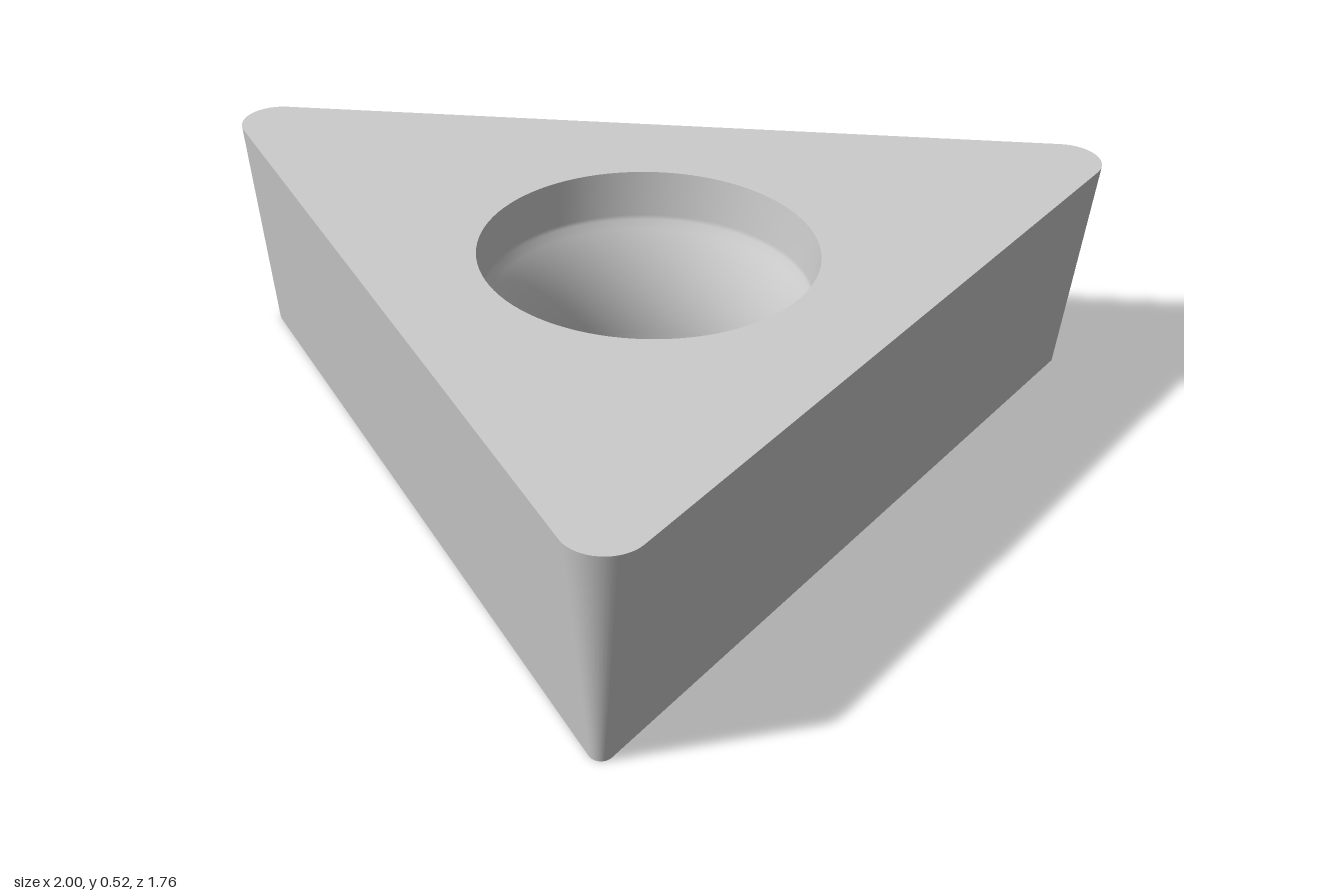
import * as THREE from 'three';

const HEIGHT = 0.525, TOP_R = 0.09, BOTTOM_R = 0.025; // corner radii of the tapered body
const CORNER = (1 - TOP_R) * 2 / Math.sqrt(3);        // distance from hole axis to corner axes
const STEPS = 16, HOLE_SEGS = 96;

// Angles and points around the rounded triangle, counter-clockwise, apex first
function outline(radius) {
  const pts = [];
  for (let c = 0; c < 3; c++) {
    const mid = Math.PI / 2 + c * Math.PI * 2 / 3;
    for (let i = 0; i <= STEPS; i++) {
      const a = mid + (i / STEPS - 0.5) * Math.PI * 2 / 3;
      pts.push({
        a,
        x: CORNER * Math.cos(mid) + radius * Math.cos(a),
        y: CORNER * Math.sin(mid) + radius * Math.sin(a),
      });
    }
  }
  return pts;
}

// Flat triangular face with a round hole
function face(radius, holeRadius) {
  const shape = new THREE.Shape(outline(radius).map(p => new THREE.Vector2(p.x, p.y)));
  const ring = [];
  for (let i = 0; i < HOLE_SEGS; i++) {
    const a = -i / HOLE_SEGS * Math.PI * 2;
    ring.push(new THREE.Vector2(holeRadius * Math.cos(a), holeRadius * Math.sin(a)));
  }
  shape.holes.push(new THREE.Path(ring));
  return new THREE.ShapeGeometry(shape);
}

// Tapered side walls joining the bottom and top outlines
function wallGeometry() {
  const low = outline(BOTTOM_R), high = outline(TOP_R), n = low.length;
  const slope = -(TOP_R - BOTTOM_R) / HEIGHT, len = Math.hypot(1, slope);
  const pos = [], nor = [], idx = [];
  for (let i = 0; i < n; i++) {
    pos.push(low[i].x, 0, -low[i].y, high[i].x, HEIGHT, -high[i].y);
    for (let k = 0; k < 2; k++) {
      nor.push(Math.cos(low[i].a) / len, slope / len, -Math.sin(low[i].a) / len);
    }
    const b0 = 2 * i, b1 = 2 * ((i + 1) % n);
    idx.push(b0, b1, b1 + 1, b0, b1 + 1, b0 + 1);
  }
  const g = new THREE.BufferGeometry();
  g.setAttribute('position', new THREE.Float32BufferAttribute(pos, 3));
  g.setAttribute('normal', new THREE.Float32BufferAttribute(nor, 3));
  g.setIndex(idx);
  return g;
}

// Hole: steep upper wall, then a flared seat curving into the straight bore
function holeGeometry() {
  const bore = 0.28, R = 0.44, start = THREE.MathUtils.degToRad(35), seatY = 0.41;
  const endY = seatY - R * Math.sin(start);
  const profile = [new THREE.Vector2(0.372, HEIGHT), new THREE.Vector2(0.362, seatY + 0.01)];
  for (let i = 0; i <= 12; i++) {
    const t = start * (1 - i / 12);
    profile.push(new THREE.Vector2(bore + R * (1 - Math.cos(t)), endY + R * Math.sin(t)));
  }
  profile.push(new THREE.Vector2(bore, 0));
  return new THREE.LatheGeometry(profile, HOLE_SEGS);
}

export function createModel() {
  const group = new THREE.Group();
  group.name = 'triangularInsert';
  const material = new THREE.MeshStandardMaterial({ color: 0xcccccc });
  const add = (name, geometry) => {
    const mesh = new THREE.Mesh(geometry, material);
    mesh.name = name;
    group.add(mesh);
    return mesh;
  };

  const top = add('topFace', face(TOP_R, 0.372));
  top.rotation.x = -Math.PI / 2;
  top.position.y = HEIGHT;

  // The outline is mirror-symmetric in x, so a half turn about z faces it downward
  const bottom = add('bottomFace', face(BOTTOM_R, 0.28).rotateY(Math.PI));
  bottom.rotation.x = -Math.PI / 2;

  add('sideWalls', wallGeometry());
  add('screwHole', holeGeometry());

  // The hole axis sits forward of the middle of the bounding box
  group.children.forEach(m => { m.position.z = 0.263; });
  return group;
}
